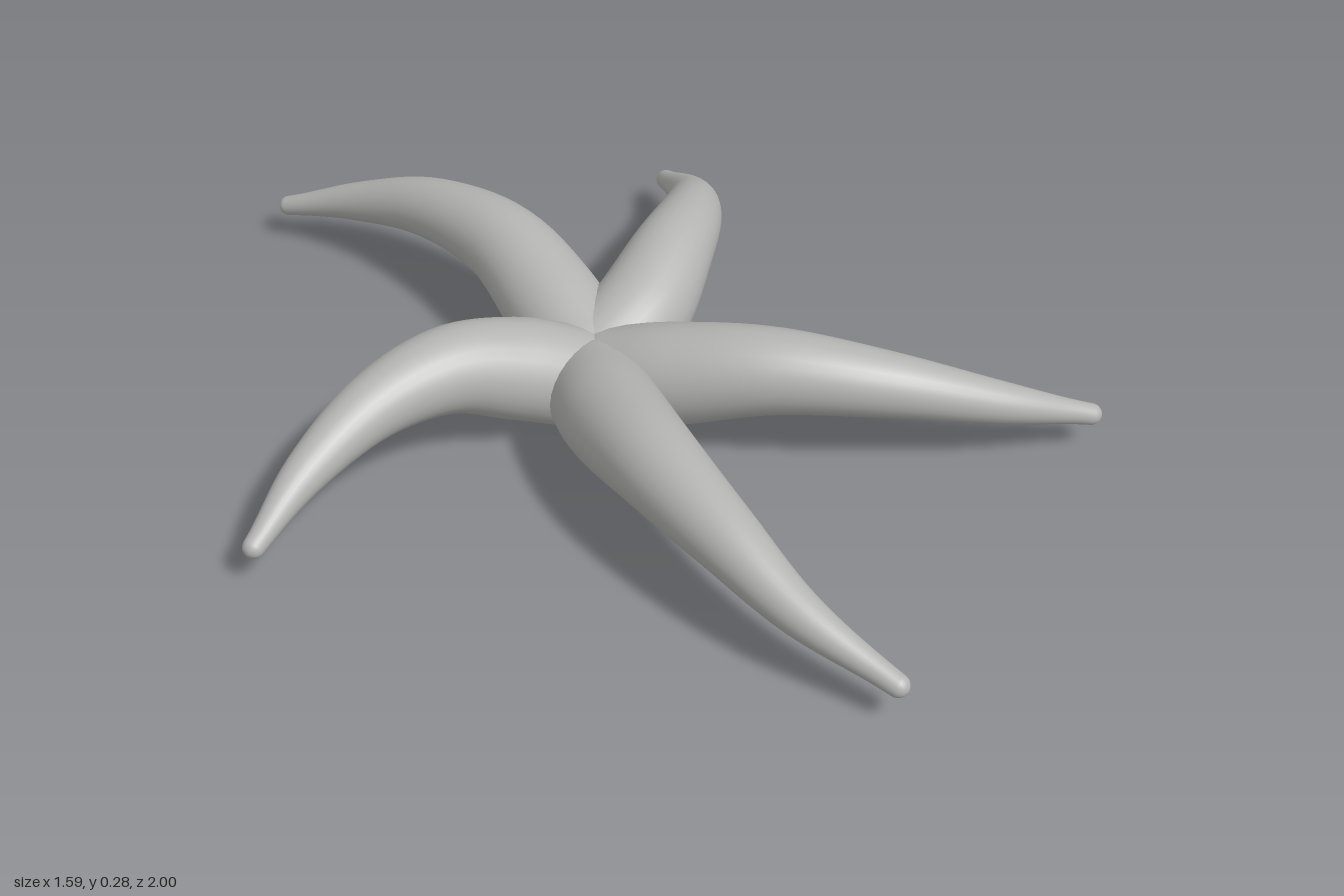
import * as THREE from 'three';

const SIDES = 28;
const STEPS = 36;
const CAP = 6;

// Height and radius along every arm, from the middle of the body to the tip
const HEIGHTS = [0.095, 0.145, 0.19, 0.18, 0.13, 0.075];
const RADII = [0.103, 0.104, 0.088, 0.067, 0.044, 0.022];

// Plan path (x, z) of each arm
const ARMS = {
  backArm: [[0.06, -0.03], [0.13, -0.19], [0.19, -0.38], [0.21, -0.6], [0.19, -0.8], [0.14, -0.978]],
  leftArm: [[0.07, -0.02], [0.22, -0.025], [0.38, -0.07], [0.55, -0.145], [0.68, -0.25], [0.775, -0.385]],
  frontLeftArm: [[0.05, 0.03], [0.09, 0.17], [0.165, 0.35], [0.28, 0.54], [0.43, 0.71], [0.582, 0.838]],
  frontRightArm: [[0.0, 0.03], [-0.11, 0.17], [-0.225, 0.365], [-0.3, 0.57], [-0.34, 0.77], [-0.335, 0.978]],
  rightArm: [[0.01, -0.02], [-0.1, -0.09], [-0.24, -0.15], [-0.41, -0.188], [-0.6, -0.19], [-0.775, -0.157]],
};

// Curved, tapering arm with a shallow base cap and a round tip
function armGeometry(plan) {
  const path = new THREE.CatmullRomCurve3(
    plan.map(([x, z], i) => new THREE.Vector3(x, HEIGHTS[i], z)), false, 'catmullrom', 0.5);
  const taper = new THREE.SplineCurve(RADII.map((r, i) => new THREE.Vector2(i, r)));
  const up = new THREE.Vector3(0, 1, 0);
  const positions = [];
  const index = [];

  const addRing = (t, scale, shift) => {
    const tangent = path.getTangent(t);
    const side = new THREE.Vector3().crossVectors(tangent, up).normalize();
    const normal = new THREE.Vector3().crossVectors(side, tangent);
    const centre = path.getPoint(t).addScaledVector(tangent, shift);
    const r = taper.getPoint(t).y * scale;
    for (let j = 0; j < SIDES; j++) {
      const a = (j / SIDES) * Math.PI * 2;
      const p = centre.clone()
        .addScaledVector(side, r * Math.cos(a))
        .addScaledVector(normal, r * Math.sin(a));
      positions.push(p.x, p.y, p.z);
    }
  };

  for (let k = 0; k < CAP; k++) {
    const a = (k / CAP) * Math.PI / 2;
    addRing(0, Math.max(Math.sin(a), 0.001), -0.03 * Math.cos(a));
  }
  for (let i = 0; i <= STEPS; i++) addRing(i / STEPS, 1, 0);
  for (let k = 1; k <= CAP; k++) {
    const a = (k / CAP) * Math.PI / 2;
    addRing(1, Math.max(Math.cos(a), 0.001), RADII[5] * Math.sin(a));
  }

  const rings = positions.length / 3 / SIDES;
  for (let i = 0; i < rings - 1; i++) {
    for (let j = 0; j < SIDES; j++) {
      const a = i * SIDES + j;
      const b = i * SIDES + (j + 1) % SIDES;
      index.push(a, a + SIDES, b, b, a + SIDES, b + SIDES);
    }
  }
  const geometry = new THREE.BufferGeometry();
  geometry.setAttribute('position', new THREE.Float32BufferAttribute(positions, 3));
  geometry.setIndex(index);
  geometry.computeVertexNormals();
  return geometry;
}

export function createModel() {
  const group = new THREE.Group();
  group.name = 'starfish';
  const skin = new THREE.MeshStandardMaterial({ color: 0xb4b4b2 });
  skin.name = 'pale grey skin';

  for (const [name, plan] of Object.entries(ARMS)) {
    const arm = new THREE.Mesh(armGeometry(plan), skin);
    arm.name = name;
    group.add(arm);
  }

  // Rest the underside on the ground
  const lowest = new THREE.Box3().setFromObject(group).min.y;
  group.children.forEach((arm) => { arm.position.y = -lowest; });
  return group;
}
